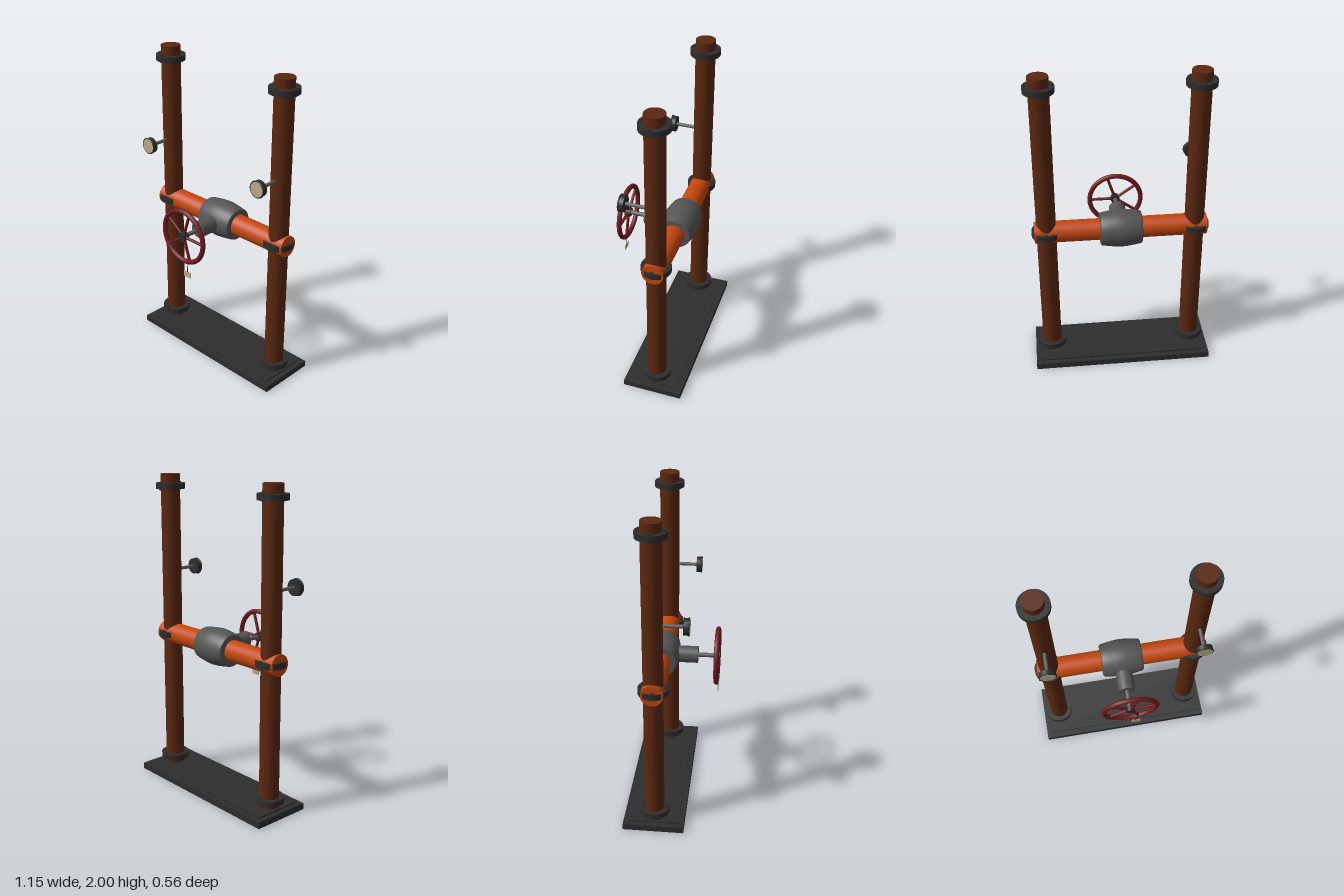
import * as THREE from 'three';

const mat = (name, color) => {
  const m = new THREE.MeshStandardMaterial({ color });
  m.name = name;
  return m;
};

export function createModel() {
  const rust = mat('rust brown', 0x5a2710);
  const orange = mat('orange paint', 0xc4470e);
  const iron = mat('dark iron', 0x2d2d2d);
  const castIron = mat('cast grey', 0x555555);
  const steel = mat('stem steel', 0x5e5e5e);
  const red = mat('wheel red', 0x6e1b21);
  const cream = mat('cream', 0xbaaa8a);

  const model = new THREE.Group();
  model.name = 'valveAssembly';
  const PX = 0.463, PZ = -0.088, VY = 0.963;

  const add = (parent, name, geometry, material, x = 0, y = 0, z = 0) => {
    const mesh = new THREE.Mesh(geometry, material);
    mesh.name = name;
    mesh.position.set(x, y, z);
    parent.add(mesh);
    return mesh;
  };
  const cyl = (r, h, n = 32) => new THREE.CylinderGeometry(r, r, h, n);
  const cylX = (r, h, n) => cyl(r, h, n).rotateZ(-Math.PI / 2);
  const cylZ = (r, h, n) => cyl(r, h, n).rotateX(Math.PI / 2);

  // Base plate with a slightly raised pad
  add(model, 'basePlate', new THREE.BoxGeometry(1.15, 0.04, 0.382), iron, 0, 0.02, PZ);
  add(model, 'basePad', new THREE.BoxGeometry(1.08, 0.008, 0.31), iron, 0, 0.044, PZ);

  // Flange disc with four bolts
  const flange = (x, y) => {
    const g = new THREE.Group();
    g.name = 'flange';
    g.position.set(x, y, PZ);
    add(g, 'flangeRing', cyl(0.092, 0.036), iron);
    for (let i = 0; i < 4; i++) {
      const a = i * Math.PI / 2;
      add(g, 'flangeBolt', cyl(0.008, 0.05, 6), iron, 0.077 * Math.cos(a), 0, 0.077 * Math.sin(a));
    }
    model.add(g);
  };

  // Upright pipes, each with three flanges and a pressure gauge
  for (const x of [-PX, PX]) {
    add(model, 'uprightPipe', cyl(0.061, 1.96), rust, x, 1.02, PZ);
    for (const y of [0.095, VY, 1.925]) flange(x, y);

    const gauge = new THREE.Group();
    gauge.name = 'gauge';
    gauge.position.set(x, 1.386, 0);
    add(gauge, 'gaugeStem', cylZ(0.011, 0.16, 12), steel, 0, 0, 0.02);
    add(gauge, 'gaugeCase', cylZ(0.05, 0.033), iron, 0, 0, 0.107);
    add(gauge, 'gaugeBezel', new THREE.TorusGeometry(0.049, 0.005, 8, 32), iron, 0, 0, 0.12);
    add(gauge, 'gaugeFace', cylZ(0.046, 0.004), cream, 0, 0, 0.1235);
    model.add(gauge);
  }

  // Cross pipe
  add(model, 'crossPipe', cylX(0.0675, 1.074), orange, 0, VY, PZ);

  // Barrel-shaped valve body
  const profile = [[0, -0.13], [0.096, -0.13], [0.103, -0.123], [0.11, -0.08], [0.116, -0.035], [0.118, 0],
    [0.116, 0.035], [0.11, 0.08], [0.103, 0.123], [0.096, 0.13], [0, 0.13]]
    .map(([r, y]) => new THREE.Vector2(r, y));
  add(model, 'valveBody', new THREE.LatheGeometry(profile, 40).rotateZ(-Math.PI / 2), castIron, 0, VY, PZ);
  add(model, 'valveBonnet', cylZ(0.053, 0.18), castIron, 0, VY, 0.05);
  add(model, 'valveStem', cylZ(0.014, 0.14, 16), steel, 0, VY, 0.19);

  // Five-spoke handwheel
  const wheel = new THREE.Group();
  wheel.name = 'handwheel';
  wheel.position.set(0, VY, 0.261);
  add(wheel, 'wheelRim', new THREE.TorusGeometry(0.168, 0.0155, 12, 48), red);
  add(wheel, 'wheelHub', cylZ(0.029, 0.036, 24), iron);
  for (let i = 0; i < 5; i++) {
    const a = i * Math.PI * 2 / 5;
    const spoke = add(wheel, 'wheelSpoke', cylX(0.0095, 0.15, 10), red, 0.09 * Math.cos(a), 0.09 * Math.sin(a));
    spoke.rotation.z = a;
  }
  model.add(wheel);

  // Tag hanging from the wheel
  const tag = new THREE.Group();
  tag.name = 'hangingTag';
  tag.position.set(0.037, 0.8, 0.265);
  tag.rotation.x = -0.04;
  add(tag, 'tagWire', cyl(0.0025, 0.08, 8), iron, 0, -0.035);
  add(tag, 'tagPlate', new THREE.BoxGeometry(0.06, 0.037, 0.004), cream, 0, -0.088);
  model.add(tag);

  return model;
}
